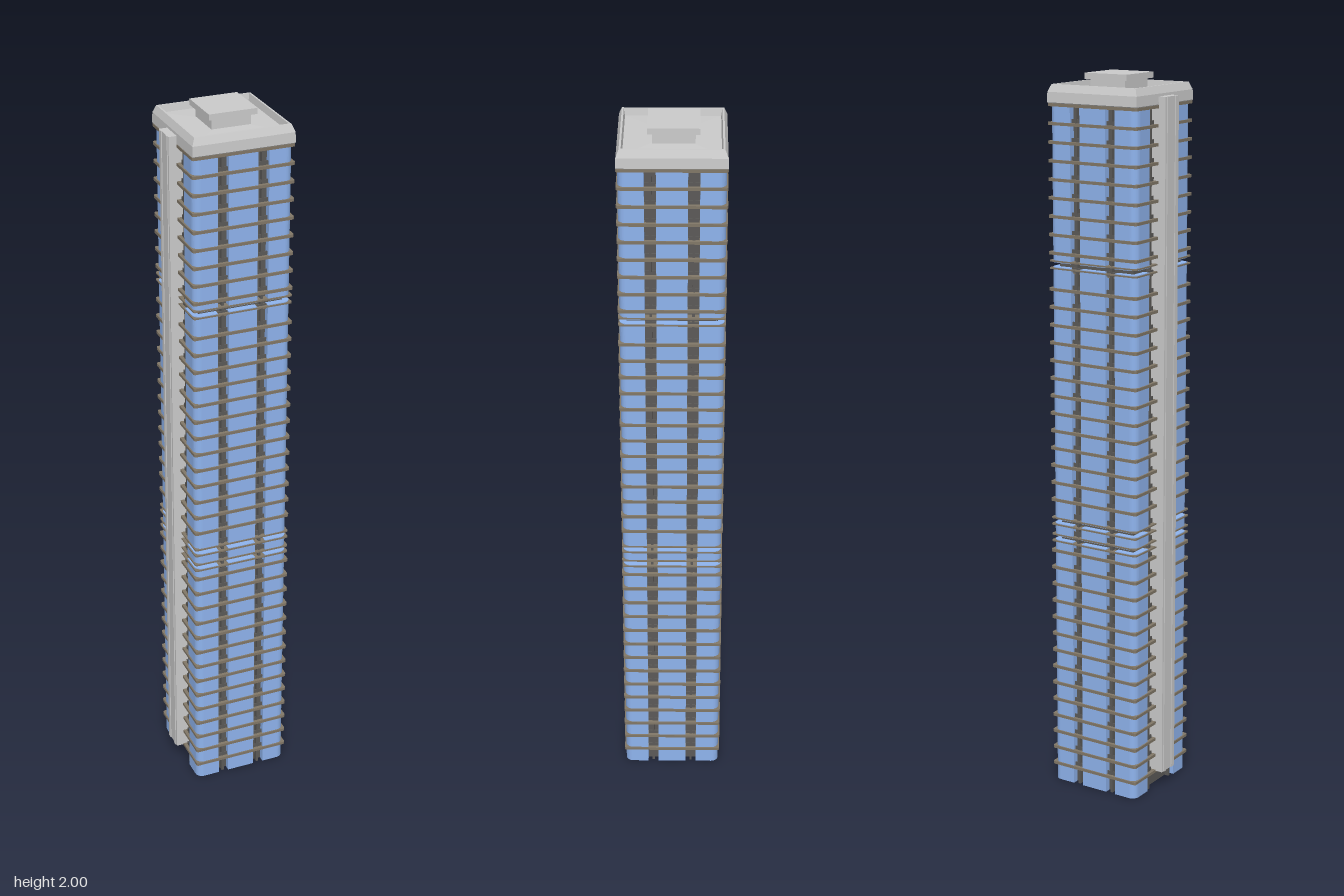
import * as THREE from 'three';
import { mergeGeometries } from 'three/addons/utils/BufferGeometryUtils.js';

const mat = (color) => new THREE.MeshStandardMaterial({ color });
const grey = mat(0xcccccc), glass = mat(0x8fb4ee), dark = mat(0x5c5a58), slabColor = mat(0x827868);

const FLOOR = 0.0492, FLOORS = 39, TOP = FLOOR * FLOORS;
const HALF = 0.14;      // slab half width
const GLASS = 0.136;    // glass line half width
const CORE = 0.118;     // recessed wall half width

const box = (w, h, d, x, y, z) => new THREE.BoxGeometry(w, h, d).translate(x, y, z);

// plan outline extruded upwards from y0 to y1
function prism(shape, y0, y1) {
  return new THREE.ExtrudeGeometry(shape, { depth: y1 - y0, bevelEnabled: false, curveSegments: 4 })
    .rotateX(-Math.PI / 2).translate(0, y0, 0);
}

// square plan with rounded corners
function roundedSquare(h, r) {
  const s = new THREE.Shape();
  for (let i = 0; i < 4; i++) {
    s.absarc((h - r) * (i === 0 || i === 3 ? 1 : -1), (h - r) * (i < 2 ? 1 : -1), r,
      i * Math.PI / 2, (i + 1) * Math.PI / 2);
  }
  s.closePath();
  return s;
}

// corner bay: solid square plan with its outer corner rounded
function cornerBay() {
  const r = 0.02, a = 0.07, s = new THREE.Shape();
  s.moveTo(a, a);
  s.lineTo(GLASS, a);
  s.absarc(GLASS - r, GLASS - r, r, 0, Math.PI / 2);
  s.lineTo(a, GLASS);
  s.closePath();
  return s;
}

export function createModel() {
  const model = new THREE.Group();
  const tower = new THREE.Group();
  tower.name = 'tower';
  tower.rotation.y = -0.683;
  model.add(tower);
  const add = (name, parts, material) => {
    const mesh = new THREE.Mesh(mergeGeometries(parts), material);
    mesh.name = name;
    tower.add(mesh);
  };

  // recessed core walls
  add('core', [box(CORE * 2, TOP, CORE * 2, 0, TOP / 2, 0)], dark);

  // glazed bays, broken at the service floors
  const glazing = [];
  const runs = [[0, 0.721], [0.732, 0.769], [0.78, 1.488], [1.5, TOP]];
  for (const [y0, y1] of runs) {
    for (let side = 0; side < 4; side++) {
      const turn = side * Math.PI / 2;
      glazing.push(prism(cornerBay(), y0, y1).rotateY(turn));
      if (side > 0) { // the shaft takes the middle of the front face
        const depth = GLASS - CORE + 0.01;
        glazing.push(box(0.08, y1 - y0, depth, 0, (y0 + y1) / 2, GLASS - depth / 2)
          .toNonIndexed().rotateY(turn));
      }
    }
  }
  add('glazedBays', glazing, glass);

  // floor slabs, left out at the service floor gaps
  const slabs = [];
  for (let i = 1; i <= FLOORS; i++) {
    const y = i * FLOOR;
    const gap = [0.726, 0.774, 1.494].some((g) => Math.abs(g - y) < 0.02);
    slabs.push(prism(roundedSquare(gap ? 0.124 : HALF, 0.006), y - 0.004, y + 0.004));
  }
  // slim edges just above and below each service floor gap
  for (const g of [0.717, 0.736, 0.765, 0.784, 1.484, 1.504]) {
    slabs.push(prism(roundedSquare(HALF - 0.001, 0.006), g - 0.002, g + 0.002));
  }
  add('floorSlabs', slabs, slabColor);

  // columns and balcony fronts in the recesses between bays
  const columns = [], balconies = [];
  for (let side = 0; side < 4; side++) {
    const turn = side * Math.PI / 2;
    for (const x of [-0.055, 0.055]) {
      columns.push(box(0.007, TOP, 0.014, x, TOP / 2, CORE + 0.006).rotateY(turn));
      for (let i = 1; i < FLOORS; i++) {
        balconies.push(box(0.028, 0.013, 0.003, x, i * FLOOR + 0.008, CORE + 0.011).rotateY(turn));
      }
    }
  }
  add('recessColumns', columns, dark);
  add('balconyFronts', balconies, dark);

  // service shaft on the middle of the front face
  const y0 = 0.05, y1 = 1.945;
  add('serviceShaft', [
    box(0.066, y1 - y0, 0.046, 0, (y0 + y1) / 2, 0.138),
    box(0.012, y1 - y0, 0.004, -0.02, (y0 + y1) / 2, 0.1615),
    box(0.012, y1 - y0, 0.004, 0.02, (y0 + y1) / 2, 0.1615),
  ], grey);

  // parapet ring and roof deck from a four-sided turned profile
  const profile = [[0, TOP - 0.001], [0.135, TOP - 0.001], [0.14, TOP + 0.006], [0.139, 1.952],
    [0.131, 1.972], [0.126, 1.972], [0.123, 1.953], [0, 1.957]]
    .map(([h, y]) => new THREE.Vector2(h * Math.SQRT2, y));
  const roof = new THREE.LatheGeometry(profile, 4, Math.PI / 4).toNonIndexed();
  roof.computeVertexNormals();
  add('roofParapet', [roof], grey);

  // rooftop plant room with an overhanging cap
  add('plantRoom', [
    box(0.108, 0.04, 0.108, -0.004, 1.968, -0.002),
    box(0.132, 0.016, 0.132, -0.004, 1.992, -0.002),
  ], grey);

  return model;
}
